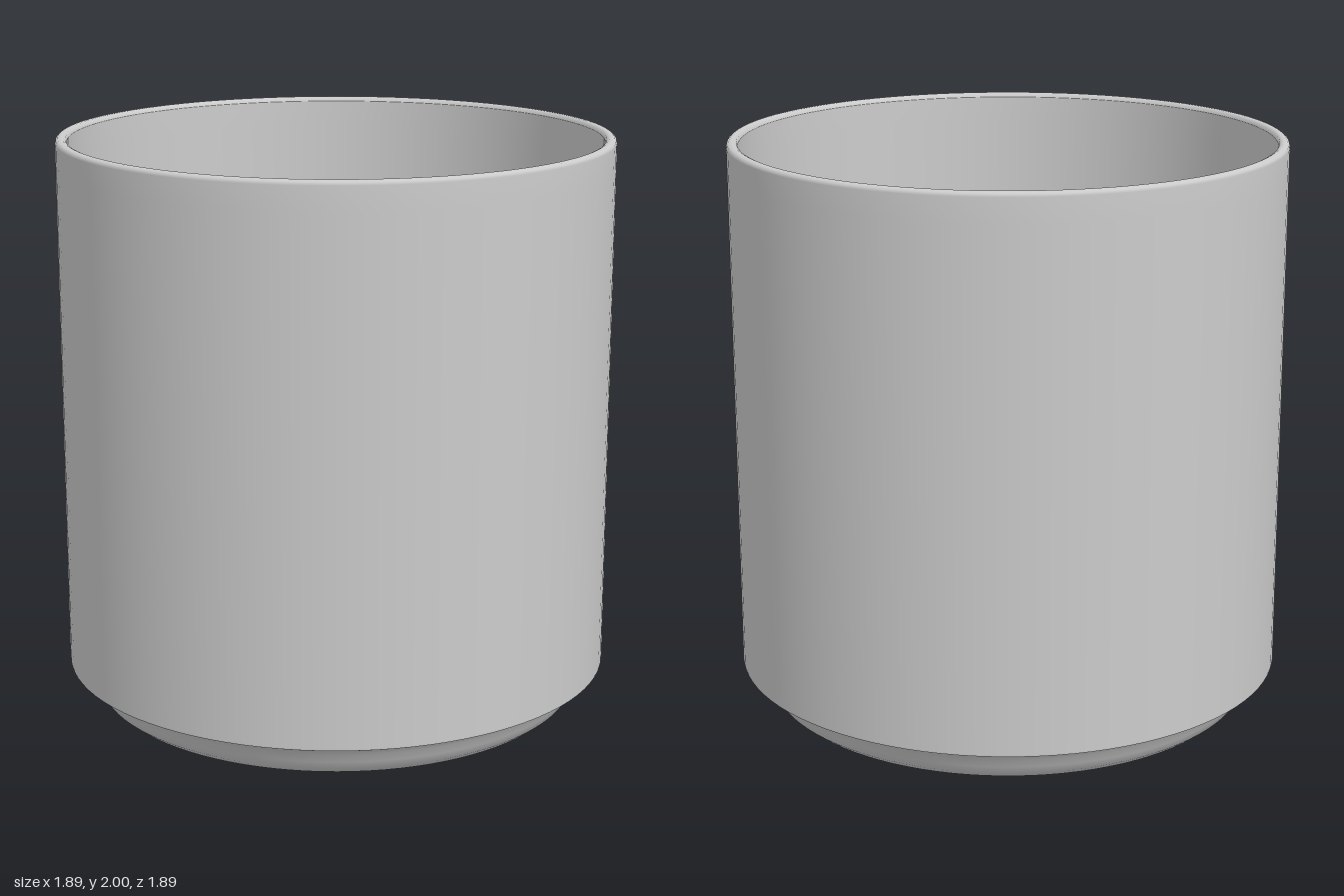
import * as THREE from 'three';

const material = new THREE.MeshStandardMaterial({ color: 0xcccccc });

// Smooth surface of revolution from [radius, height] pairs
function turned(name, profile) {
  const points = profile.map(([r, y]) => new THREE.Vector2(r, y));
  const mesh = new THREE.Mesh(new THREE.LatheGeometry(points, 96), material);
  mesh.name = name;
  return mesh;
}

export function createModel() {
  const cup = new THREE.Group();
  cup.name = 'cup';

  // Rounded foot, flaring out through a cove to the lower edge of the wall
  cup.add(turned('foot', [
    [0, 0], [0.66, 0], [0.72, 0.004], [0.77, 0.013], [0.81, 0.028], [0.837, 0.05],
    [0.852, 0.08], [0.868, 0.112], [0.885, 0.135], [0.908, 0.147], [0.932, 0.153], [0.943, 0.158],
  ]));

  // Straight outer wall
  cup.add(turned('outerWall', [
    [0.943, 0.158], [0.944, 0.165], [0.944, 1.9], [0.944, 1.985],
    [0.941, 1.994], [0.934, 1.999], [0.925, 2],
  ]));

  // Narrow rounded lip
  cup.add(turned('lip', [
    [0.925, 2], [0.918, 2], [0.909, 1.996], [0.905, 1.985],
  ]));

  // Inner wall, stepping in over the foot to a rounded floor
  cup.add(turned('interior', [
    [0.905, 1.985], [0.904, 1.9], [0.904, 0.24], [0.9, 0.215], [0.885, 0.195],
    [0.86, 0.18], [0.84, 0.16], [0.826, 0.125], [0.812, 0.09], [0.79, 0.068],
    [0.755, 0.054], [0.71, 0.046], [0.66, 0.043], [0, 0.043],
  ]));

  return cup;
}
